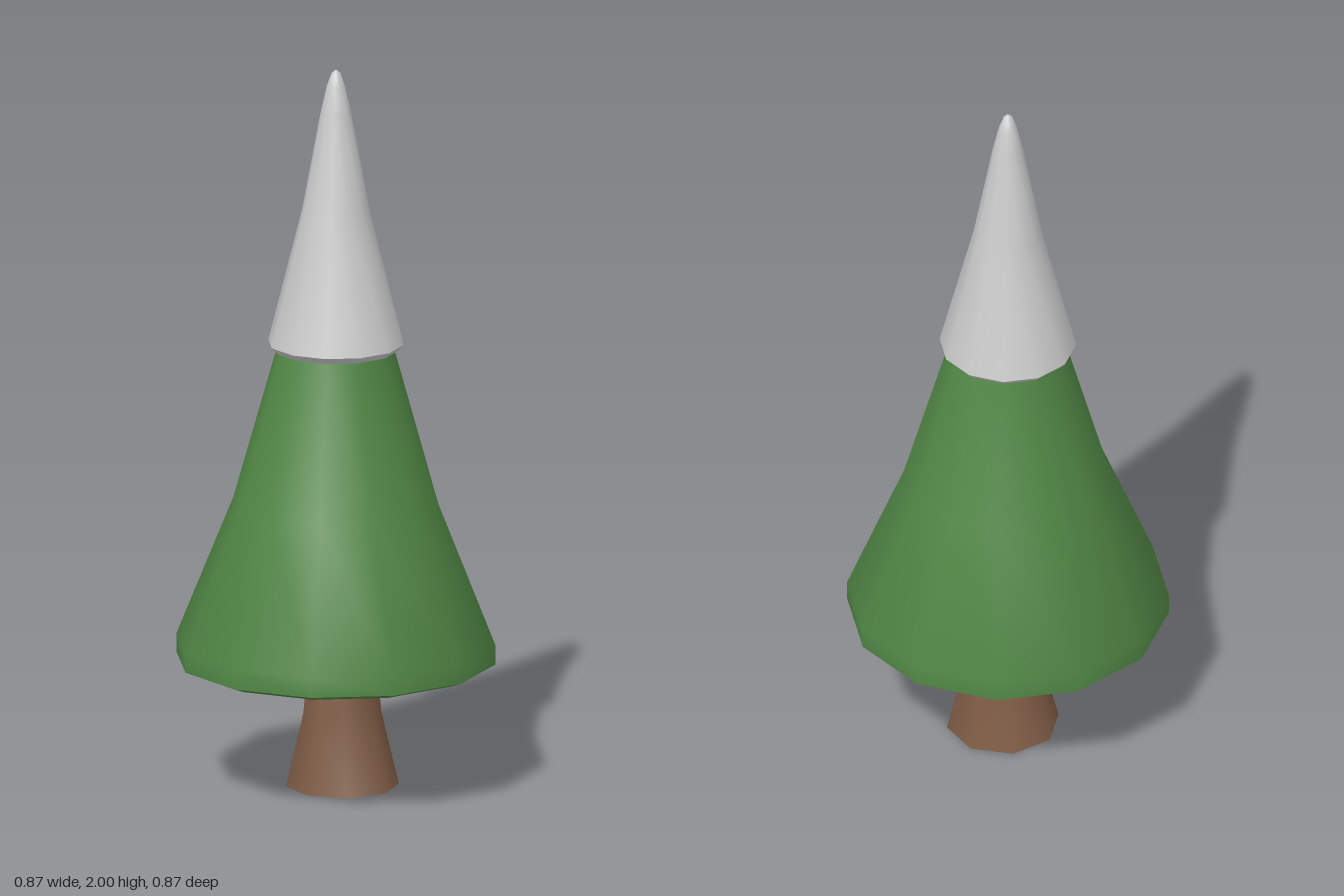
import * as THREE from 'three';
import { toCreasedNormals } from 'three/addons/utils/BufferGeometryUtils.js';

// Revolve a bottom-to-top [radius, height] profile, keeping the rims sharp.
function turned(name, profile, sides, color, crease) {
  const points = profile.map(([r, y]) => new THREE.Vector2(r, y));
  const geometry = toCreasedNormals(new THREE.LatheGeometry(points, sides), crease);
  const mesh = new THREE.Mesh(geometry, new THREE.MeshStandardMaterial({ color }));
  mesh.name = name;
  return mesh;
}

export function createModel() {
  const tree = new THREE.Group();
  tree.name = 'snowyTree';

  // Flared trunk, set slightly off the tree's axis
  const trunk = turned('trunk', [
    [0, 0], [0.153, 0], [0.106, 0.2], [0.092, 0.35],
  ], 8, 0x805d46, 0.87);
  trunk.position.set(-0.008, 0, -0.037);

  // Green skirt with a flat underside and small bevelled rim
  const foliage = turned('foliage', [
    [0, 0.345], [0.395, 0.345], [0.435, 0.36], [0.435, 0.415],
    [0.28, 0.8], [0.16, 1.225],
  ], 12, 0x518745, 0.7);

  // Snow cap overhanging the foliage, with a rounded tip
  const snowCap = turned('snowCap', [
    [0.155, 1.222], [0.168, 1.222], [0.185, 1.24], [0.092, 1.61], [0.042, 1.88],
    [0.025, 1.955], [0.012, 1.99], [0, 2],
  ], 12, 0xcccccc, 0.7);

  tree.add(trunk, foliage, snowCap);
  return tree;
}
